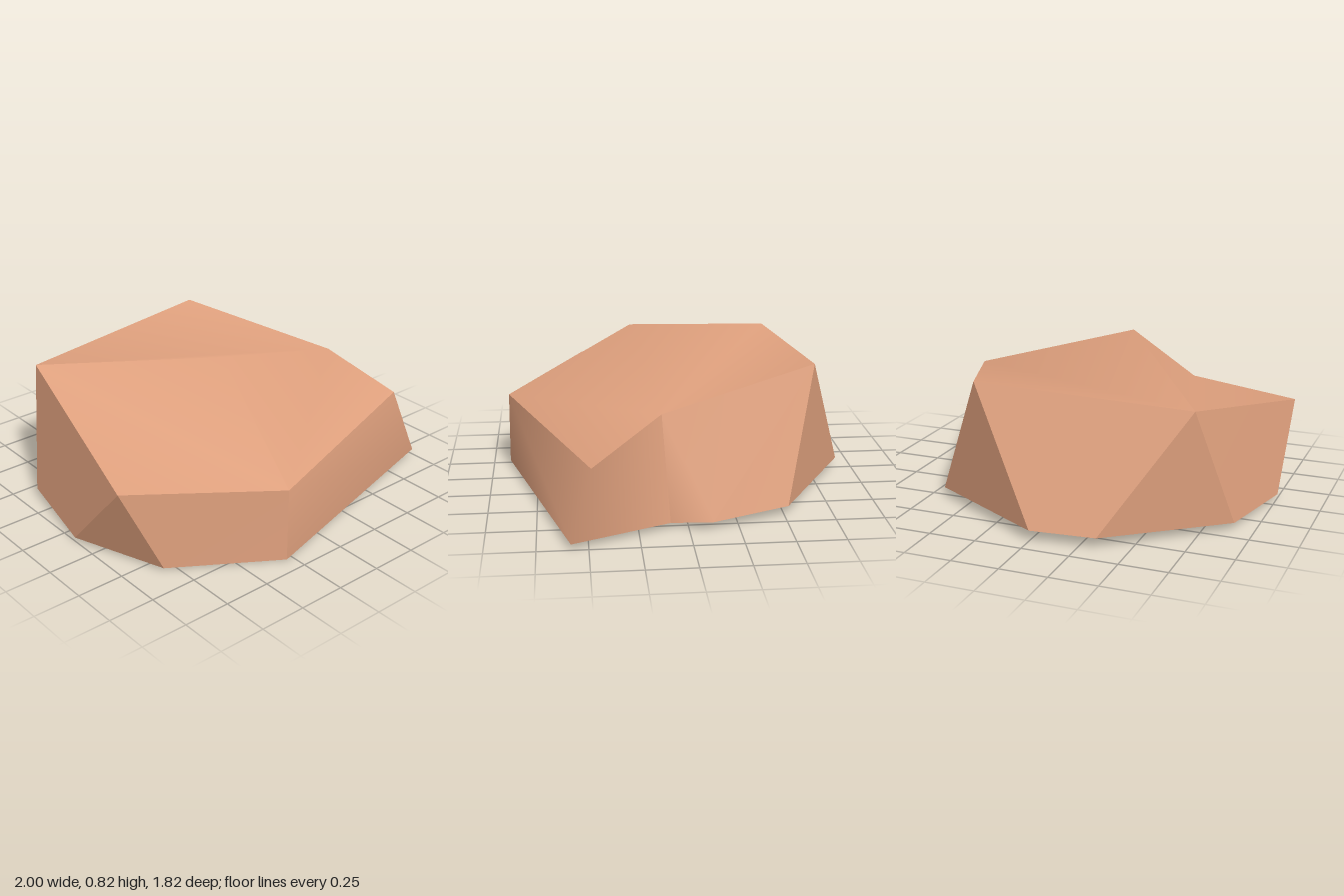
import * as THREE from 'three';

// Corners: capitals form the upper facets, lower case the open bottom rim.
const CORNERS = {
  P: [-0.13, 0.82, 0.23],
  A: [-0.28, 0.395, 0.905], B: [0.925, 0.38, 0.48], C: [0.74, 0.58, 0.13],
  D: [0.39, 0.715, -0.69], E: [-0.74, 0.66, -0.6], F: [-0.99, 0.445, 0.48],
  a: [-0.285, 0, 0.91], b: [1, 0.03, 0.585], c: [0.785, 0.03, 0.09],
  d: [0.82, 0.04, -0.12], e: [0.67, 0.05, -0.52], f: [0, 0.057, -0.91],
  g: [-0.34, 0.055, -0.875], h: [-0.9, 0.04, -0.41], i: [-1, 0.022, 0.1],
  j: [-0.81, 0.01, 0.59],
};
// Doubled corners keep the crown creased at its front and back ends
CORNERS.K = CORNERS.A;
CORNERS.L = CORNERS.E;

// Each patch is smooth inside and creased against its neighbours.
const PATCHES = {
  crown: ['LFK', 'LKP', 'CDE', 'CEP', 'CPA', 'CAB'],
  frontWall: ['bBAa', 'bcCB'],
  leftWall: ['cdC', 'dDC', 'deD'],
  backLeftFacet: ['efD'],
  backWall: ['fgED'],
  backRightFacet: ['ghE'],
  rightWall: ['hiFE'],
  frontRightFacet: ['ijF'],
  frontRightWall: ['jaAF'],
};

// Shared-corner geometry from polygons named by their corners, fanned from the first
function patchGeometry(polygons) {
  const keys = [...new Set(polygons.join(''))];
  const index = [];
  for (const poly of polygons) {
    const ids = [...poly].map((k) => keys.indexOf(k));
    for (let n = 1; n < ids.length - 1; n++) index.push(ids[0], ids[n], ids[n + 1]);
  }
  const geometry = new THREE.BufferGeometry();
  geometry.setAttribute('position', new THREE.Float32BufferAttribute(keys.flatMap((k) => CORNERS[k]), 3));
  geometry.setIndex(index);
  geometry.computeVertexNormals();
  return geometry;
}

export function createModel() {
  const clay = new THREE.MeshStandardMaterial({ color: 0xe0a17e, side: THREE.DoubleSide });
  clay.name = 'clay';

  const rock = new THREE.Group();
  rock.name = 'rock';
  for (const [name, polygons] of Object.entries(PATCHES)) {
    const mesh = new THREE.Mesh(patchGeometry(polygons), clay);
    mesh.name = name;
    rock.add(mesh);
  }
  return rock;
}
